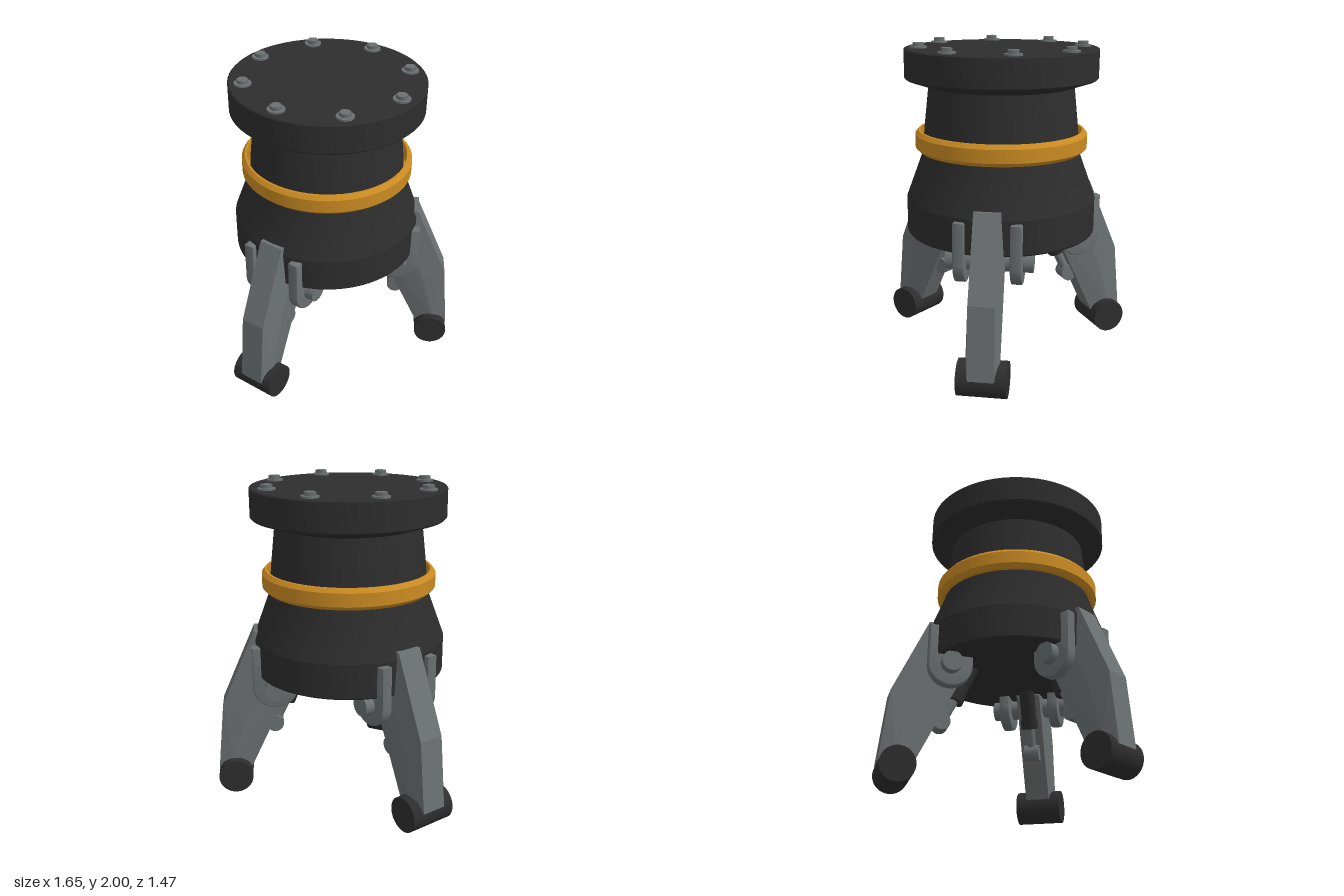
import * as THREE from 'three';
import { toCreasedNormals } from 'three/addons/utils/BufferGeometryUtils.js';
import { ConvexGeometry } from 'three/addons/geometries/ConvexGeometry.js';

const mat = (name, color) => {
  const m = new THREE.MeshStandardMaterial({ color });
  m.name = name;
  return m;
};

export function createModel() {
  const black = mat('charcoal', 0x2d2d2d);
  const grey = mat('steel grey', 0x6b7070);
  const orange = mat('amber', 0xcb8b22);

  const model = new THREE.Group();
  model.name = 'threeLeggedGripper';
  const core = new THREE.Group();
  core.name = 'core';
  core.position.z = -0.135;
  model.add(core);

  const add = (parent, name, geo, material, x = 0, y = 0, z = 0) => {
    const mesh = new THREE.Mesh(geo, material);
    mesh.name = name;
    mesh.position.set(x, y, z);
    parent.add(mesh);
    return mesh;
  };
  const lathe = (pts) => toCreasedNormals(
    new THREE.LatheGeometry(pts.map(([r, y]) => new THREE.Vector2(r, y)), 64), 0.35);

  // Cylinder between two points in the plane of a leg (radius out, height)
  const rod = (parent, name, a, b, radius, material) => {
    const p = new THREE.Vector3(0, a[1], a[0]), q = new THREE.Vector3(0, b[1], b[0]);
    const dir = q.clone().sub(p);
    const mesh = add(parent, name, new THREE.CylinderGeometry(radius, radius, dir.length(), 24), material);
    mesh.position.copy(p).add(q).multiplyScalar(0.5);
    mesh.quaternion.setFromUnitVectors(new THREE.Vector3(0, 1, 0), dir.normalize());
  };
  // Cylinder lying across a leg
  const crossCylinder = (radius, width, sides = 32) =>
    new THREE.CylinderGeometry(radius, radius, width, sides).rotateZ(Math.PI / 2);

  // Body with flange, neck and flared skirt
  add(core, 'body', lathe([
    [0, 0.81], [0.595, 0.81], [0.602, 0.82], [0.602, 1.03], [0.495, 1.32], [0.485, 1.46],
    [0.455, 1.735], [0.592, 1.78], [0.602, 1.79], [0.602, 1.96], [0.595, 1.967], [0, 1.967],
  ]), black);

  // Chamfered collar around the neck
  add(core, 'collar', lathe([
    [0.48, 1.33], [0.515, 1.33], [0.542, 1.355], [0.542, 1.437], [0.522, 1.462],
    [0.508, 1.462], [0.508, 1.36], [0.48, 1.36],
  ]), orange);

  // Hex bolts on the top plate
  for (let i = 0; i < 8; i++) {
    const a = (i * Math.PI) / 4, x = 0.512 * Math.sin(a), z = 0.512 * Math.cos(a);
    add(core, 'boltWasher', new THREE.CylinderGeometry(0.053, 0.053, 0.012, 24), grey, x, 1.972, z);
    add(core, 'boltHead', new THREE.CylinderGeometry(0.036, 0.036, 0.024, 6), grey, x, 1.988, z);
  }

  // Leg: convex bar, narrow at its edges and ridged along the sides
  const legPoints = [];
  const outline = [[0.5, 1.08], [0.605, 1.08], [0.82, 0.59], [0.865, 0.14], [0.66, 0.125], [0.34, 0.8]];
  const ridge = [[0.56, 0.8], [0.67, 0.56], [0.77, 0.2]];
  for (const s of [-1, 1]) {
    for (const [r, y] of outline) legPoints.push(new THREE.Vector3(s * 0.08, y, r));
    for (const [r, y] of ridge) legPoints.push(new THREE.Vector3(s * 0.103, y, r));
  }
  const legGeo = new ConvexGeometry(legPoints);

  // Bracket cheek with a rounded lower end around the pivot
  const cheek = new THREE.Shape();
  cheek.moveTo(0.35, 1.0);
  cheek.lineTo(0.35, 0.75);
  cheek.absarc(0.48, 0.75, 0.13, Math.PI, 2 * Math.PI, false);
  cheek.lineTo(0.61, 1.0);
  const cheekGeo = toCreasedNormals(new THREE.ExtrudeGeometry(cheek, {
    depth: 0.05, bevelEnabled: true, bevelThickness: 0.01, bevelSize: 0.01, bevelSegments: 2, curveSegments: 24,
  }).translate(0, 0, -0.025).rotateY(-Math.PI / 2), 0.5);

  for (let i = 0; i < 3; i++) {
    const unit = new THREE.Group();
    unit.name = 'legUnit';
    unit.rotation.y = (i * 2 * Math.PI) / 3;
    core.add(unit);

    add(unit, 'leg', legGeo, grey);
    add(unit, 'footRoller', crossCylinder(0.11, 0.3, 40), black, 0, 0.11, 0.755);
    for (const s of [-1, 1]) add(unit, 'bracketCheek', cheekGeo, grey, s * 0.17, 0, 0);
    add(unit, 'pivotPin', crossCylinder(0.065, 0.53), grey, 0, 0.75, 0.48);

    // Piston strut behind the leg
    rod(unit, 'pistonCylinder', [0.24, 0.98], [0.4, 0.61], 0.052, black);
    rod(unit, 'pistonCap', [0.388, 0.637], [0.412, 0.582], 0.058, black);
    rod(unit, 'pistonRod', [0.4, 0.61], [0.49, 0.43], 0.03, grey);
    add(unit, 'pistonEye', crossCylinder(0.055, 0.1), grey, 0, 0.43, 0.49);
  }
  return model;
}
